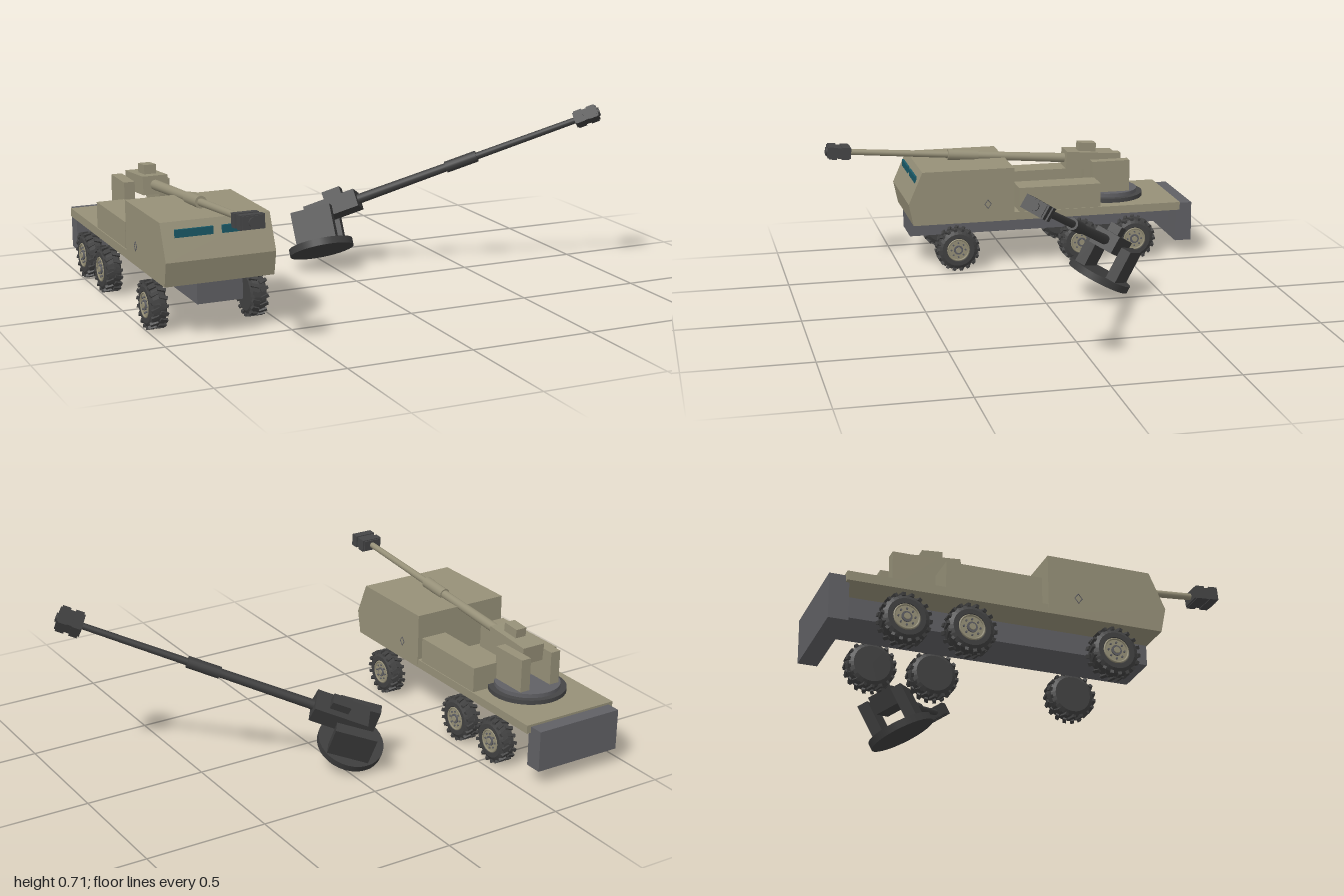
import * as THREE from 'three';

const mat = (name, color) => {
  const m = new THREE.MeshStandardMaterial({ color });
  m.name = name;
  return m;
};

export function createModel() {
  const tan = mat('tan paint', 0x969078);
  const grey = mat('chassis grey', 0x606064);
  const dark = mat('dark steel', 0x454546);
  const charcoal = mat('charcoal', 0x3d3d3d);
  const rubber = mat('tyre rubber', 0x414141);
  const glass = mat('teal glass', 0x1a5a68);

  const add = (parent, name, geo, material, x = 0, y = 0, z = 0) => {
    const m = new THREE.Mesh(geo, material);
    m.name = name;
    m.position.set(x, y, z);
    parent.add(m);
    return m;
  };
  const box = (parent, name, material, w, h, d, x, y, z) =>
    add(parent, name, new THREE.BoxGeometry(w, h, d), material, x, y, z);
  // cylinder lying along z, from z0 to z1
  const rod = (parent, name, material, r0, r1, z0, z1, n = 16) =>
    add(parent, name, new THREE.CylinderGeometry(r1, r0, z1 - z0, n).rotateX(Math.PI / 2), material, 0, 0, (z0 + z1) / 2);
  const group = (parent, name, x = 0, y = 0, z = 0) => {
    const g = new THREE.Group();
    g.name = name;
    g.position.set(x, y, z);
    parent.add(g);
    return g;
  };

  // rotating gun mount, origin at the underside of its base disc
  function makeTurret(parent, name, paint, base, tip, elevation) {
    const t = group(parent, name);
    add(t, 'baseDisc', new THREE.CylinderGeometry(0.135, 0.135, 0.03, 32), base, 0, 0.015, 0);
    for (const s of [-1, 1]) box(t, 'cheekPlate', paint, 0.045, 0.145, 0.17, s * 0.074, 0.0975, 0.005);

    const gun = group(t, 'gun', 0, 0.158, 0);
    gun.rotation.x = -elevation;
    box(gun, 'cradle', paint, 0.104, 0.075, 0.225, 0, 0, 0.085);
    box(gun, 'sight', paint, 0.05, 0.04, 0.078, 0, 0.055, 0.1);
    rod(gun, 'barrelRear', paint, 0.021, 0.018, 0.19, 0.6);
    rod(gun, 'barrelSleeve', paint, 0.024, 0.024, 0.59, 0.725);
    rod(gun, 'barrelFront', paint, 0.015, 0.013, 0.72, 1.17);
    // muzzle brake with wider baffles
    box(gun, 'muzzleBrake', tip, 0.08, 0.046, 0.1, 0, 0, 1.205);
    for (const z of [1.178, 1.232]) box(gun, 'muzzleBaffle', tip, 0.094, 0.053, 0.034, 0, 0, z);
    rod(gun, 'muzzleRing', tip, 0.018, 0.018, 1.25, 1.262);
    return t;
  }

  // wheel with its outer face toward +x
  const tyreProfile = [[0, -0.033], [0.07, -0.033], [0.086, -0.024], [0.088, 0], [0.086, 0.024],
    [0.07, 0.033], [0.052, 0.033], [0.048, 0.024], [0, 0.024]].map(p => new THREE.Vector2(...p));
  function makeWheel(parent, x, z, side) {
    const w = group(parent, 'wheel', x, 0.095, z);
    if (side < 0) w.rotation.y = Math.PI;
    const tyre = new THREE.LatheGeometry(tyreProfile, 28).rotateZ(-Math.PI / 2).toNonIndexed();
    tyre.computeVertexNormals();
    add(w, 'tyre', tyre, rubber);
    const lug = new THREE.BoxGeometry(0.032, 0.012, 0.013);
    const bolt = new THREE.CylinderGeometry(0.004, 0.004, 0.006, 6).rotateZ(Math.PI / 2);
    for (let i = 0; i < 18; i++) {
      for (const s of [-1, 1]) {
        const a = (i + (s > 0 ? 0.5 : 0)) / 18 * Math.PI * 2;
        const l = add(w, 'treadLug', lug, rubber, s * 0.017, Math.cos(a) * 0.088, Math.sin(a) * 0.088);
        l.rotation.set(a, s * 0.35, 0);
      }
    }
    // hub with rim, cap and bolts
    const disc = (name, r, d, px, m) =>
      add(w, name, new THREE.CylinderGeometry(r, r, d, 20).rotateZ(Math.PI / 2), m, px, 0, 0);
    disc('hubDisc', 0.047, 0.008, 0.025, tan);
    add(w, 'hubRim', new THREE.TorusGeometry(0.046, 0.004, 6, 24).rotateY(Math.PI / 2), tan, 0.031);
    disc('hubRing', 0.02, 0.006, 0.031, grey);
    disc('hubCap', 0.012, 0.012, 0.032, tan);
    for (let i = 0; i < 8; i++) {
      const a = i * Math.PI / 4;
      add(w, 'hubBolt', bolt, grey, 0.031, Math.cos(a) * 0.031, Math.sin(a) * 0.031);
    }
  }

  const model = new THREE.Group();
  model.name = 'gunTruckAndSpareMount';
  const truck = group(model, 'truck', -0.765, 0, 0);

  // chassis, deck and rear spade
  box(truck, 'chassis', grey, 0.18, 0.08, 1.18, 0, 0.17, -0.14);
  box(truck, 'deck', tan, 0.43, 0.035, 0.75, 0, 0.2275, -0.365);
  box(truck, 'rearSpade', grey, 0.39, 0.172, 0.073, 0, 0.15, -0.7635);

  // cab, side profile extruded across the width
  const profile = new THREE.Shape([[-0.01, 0.21], [-0.01, 0.443], [-0.412, 0.443], [-0.473, 0.305], [-0.453, 0.21]]
    .map(p => new THREE.Vector2(...p)));
  const cab = new THREE.ExtrudeGeometry(profile, { depth: 0.432, bevelEnabled: false });
  cab.translate(0, 0, -0.216).rotateY(Math.PI / 2);
  add(truck, 'cab', cab, tan);
  for (const s of [-1, 1]) {
    box(truck, 'windscreen', glass, 0.15, 0.03, 0.009, s * 0.0925, 0.402, 0.434);
    // small diamond fitting on each cab side
    const d = new THREE.TorusGeometry(0.017, 0.0025, 4, 4).scale(0.85, 1.1, 1).rotateY(Math.PI / 2);
    add(truck, 'sideDiamond', d, grey, s * 0.216, 0.288, 0.127);
    box(truck, 'sideLocker', tan, 0.118, 0.105, 0.365, s * 0.152, 0.2975, -0.195);
    for (const z of [0.262, -0.288, -0.528]) makeWheel(truck, s * 0.2, z, s);
  }

  // turret on the deck
  add(truck, 'turretRing', new THREE.CylinderGeometry(0.16, 0.16, 0.018, 36), dark, 0, 0.254, -0.46);
  makeTurret(truck, 'turret', tan, grey, dark, 0.081).position.set(0, 0.25, -0.46);

  // detached mount lying tilted beside the truck
  const loose = makeTurret(model, 'looseTurret', charcoal, charcoal, charcoal, 0.106);
  loose.position.set(-0.052, 0.077, -0.232);
  loose.rotation.set(-0.489, 0.95, 0);

  return model;
}
